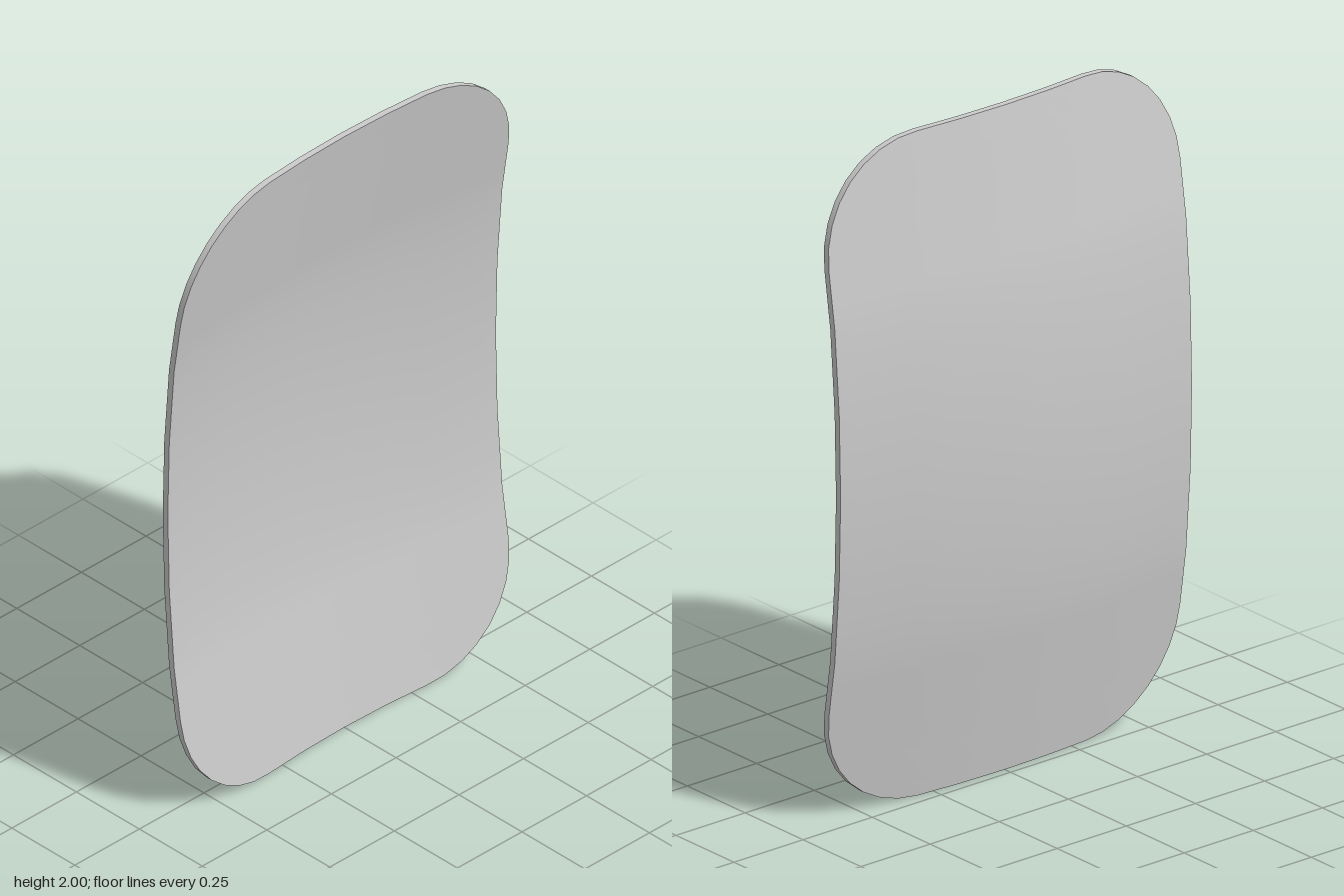
import * as THREE from 'three';
import { toCreasedNormals } from 'three/addons/utils/BufferGeometryUtils.js';

const HALF_H = 1, HALF_W = 0.635, RADIUS = 0.33, THICK = 0.02, COLS = 20;

// Piecewise bend: gentle in the middle, straight towards the rim
function bend(t, quarter, half, full) {
  const a = Math.abs(t);
  if (a < 0.25) return quarter * a / 0.25;
  if (a < 0.5) return quarter + (half - quarter) * (a - 0.25) / 0.25;
  return half + (full - half) * (a - 0.5) / 0.5;
}

// Depth of the dished panel at height v and width z, both measured from its centre
const depth = (v, z) =>
  -0.075 + bend(v / HALF_H, 0.006, 0.025, 0.1) + bend(z / HALF_W, 0.004, 0.015, 0.05);

// Rows from bottom to top, each with its half width; the ends follow round corners
function makeRows() {
  const upper = [0.125, 0.25, 0.375, 0.5, 0.585].map(v => [v, HALF_W]);
  for (let i = 0; i <= 8; i++) {
    const a = i / 8 * Math.PI / 2;
    upper.push([HALF_H - RADIUS + RADIUS * Math.sin(a), HALF_W - RADIUS + RADIUS * Math.cos(a)]);
  }
  const lower = upper.map(([v, w]) => [-v, w]).reverse();
  return [...lower, [0, HALF_W], ...upper];
}

function panelGeometry() {
  const rows = makeRows(), n = COLS + 1, count = rows.length * n;
  const pos = [], index = [];

  // Both faces of the sheet
  for (const offset of [0, THICK]) {
    for (const [v, w] of rows) {
      for (let i = 0; i <= COLS; i++) {
        const z = w * (2 * i / COLS - 1);
        pos.push(depth(v, z) + offset, v + HALF_H, z);
      }
    }
  }
  for (let j = 0; j < rows.length - 1; j++) {
    for (let i = 0; i < COLS; i++) {
      const a = j * n + i, b = a + 1, c = a + n, d = c + 1;
      index.push(a, b, c, b, d, c);
      index.push(a + count, c + count, b + count, b + count, c + count, d + count);
    }
  }

  // Rim joining the two faces around the outline
  const loop = [], top = rows.length - 1;
  for (let j = 0; j < top; j++) loop.push(j * n + COLS);
  for (let i = COLS; i > 0; i--) loop.push(top * n + i);
  for (let j = top; j > 0; j--) loop.push(j * n);
  for (let i = 0; i < COLS; i++) loop.push(i);
  loop.forEach((a, k) => {
    const b = loop[(k + 1) % loop.length];
    index.push(a, a + count, b, a + count, b + count, b);
  });

  const geo = new THREE.BufferGeometry();
  geo.setAttribute('position', new THREE.Float32BufferAttribute(pos, 3));
  geo.setIndex(index);
  return toCreasedNormals(geo, Math.PI / 4);
}

export function createModel() {
  const group = new THREE.Group();
  group.name = 'curvedPanel';
  const panel = new THREE.Mesh(panelGeometry(), new THREE.MeshStandardMaterial({ color: 0xcccccc }));
  panel.name = 'panel';
  group.add(panel);
  return group;
}
